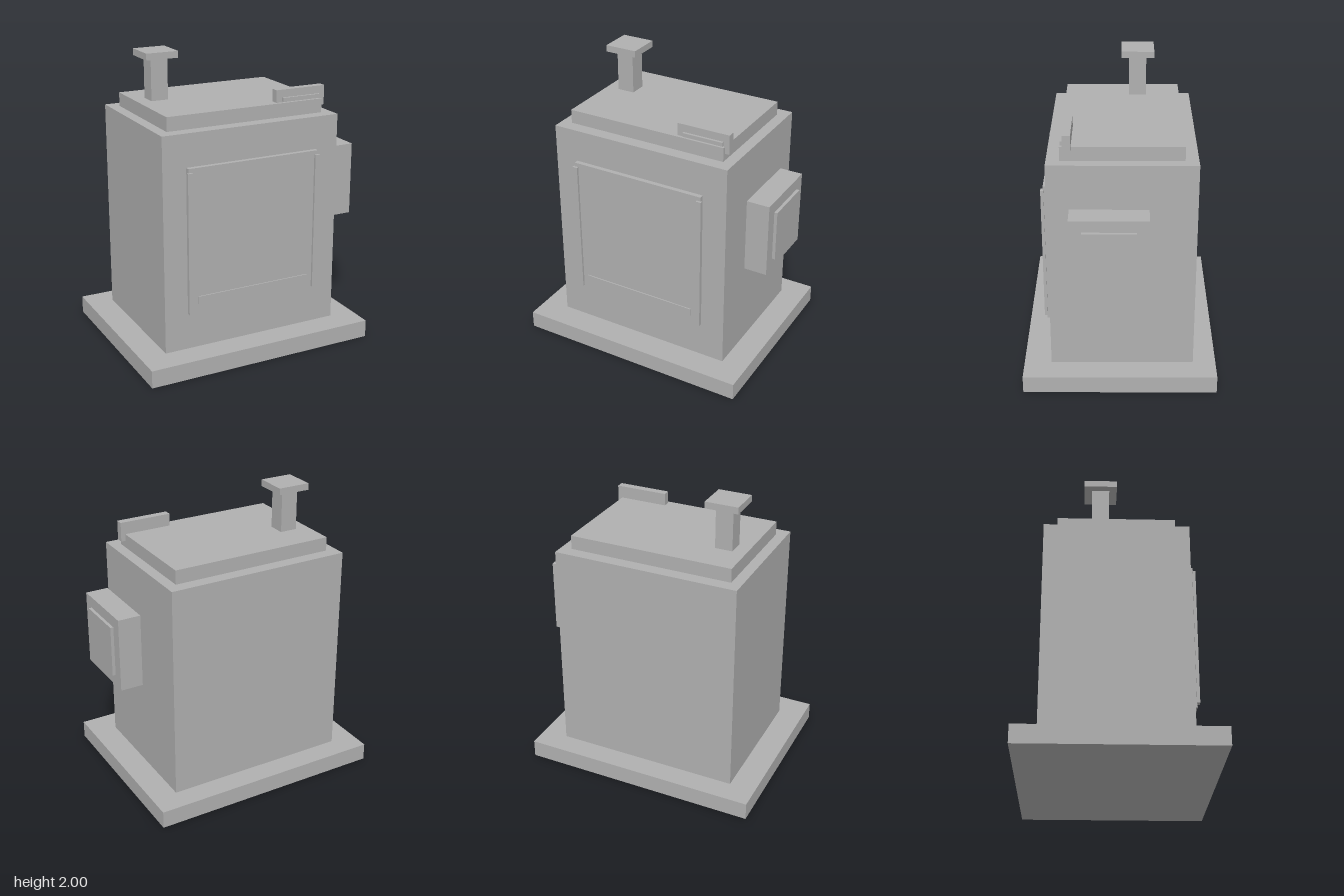
import * as THREE from 'three';

export function createModel() {
  const model = new THREE.Group();
  model.name = 'cabinet';
  const grey = new THREE.MeshStandardMaterial({ color: 0xb0b0b0 });
  grey.name = 'plain grey';

  // Adds a box from its extents along each axis
  function box(name, [x0, x1], [y0, y1], [z0, z1], parent = model) {
    const mesh = new THREE.Mesh(new THREE.BoxGeometry(x1 - x0, y1 - y0, z1 - z0), grey);
    mesh.position.set((x0 + x1) / 2, (y0 + y1) / 2, (z0 + z1) / 2);
    mesh.name = name;
    parent.add(mesh);
  }
  function group(name) {
    const g = new THREE.Group();
    g.name = name;
    model.add(g);
    return g;
  }

  // Plinth, main body and raised lid
  box('base', [-0.847, 0.773], [0, 0.12], [-0.645, 0.645]);
  box('body', [-0.67, 0.598], [0.12, 1.58], [-0.492, 0.463]);
  box('lid', [-0.598, 0.525], [1.58, 1.674], [-0.406, 0.377]);

  // Front door: panel, two side rails and a low bar
  const door = group('door');
  box('doorPanel', [-0.508, 0.432], [0.37, 1.36], [0.463, 0.494], door);
  for (const x of [-0.5, 0.425])
    box('doorRail', [x - 0.018, x + 0.018], [0.397, 1.333], [0.49, 0.51], door);
  box('doorBar', [-0.445, 0.372], [0.44, 0.493], [0.494, 0.502], door);

  // Square chimney with a cap
  const chimney = group('chimney');
  box('chimneyPipe', [-0.508, -0.39], [1.674, 1.955], [-0.177, -0.06], chimney);
  box('chimneyCap', [-0.56, -0.336], [1.955, 2], [-0.23, -0.008], chimney);

  // Upright plate on the lid with a thin strip on its face
  const plate = group('topPlate');
  box('plateBack', [0.193, 0.555], [1.627, 1.758], [0.305, 0.357], plate);
  box('plateStrip', [0.235, 0.514], [1.68, 1.706], [0.357, 0.373], plate);

  // Side box standing off the body, with a panel showing on both faces
  const side = group('sideBox');
  box('sideCase', [0.667, 0.822], [0.81, 1.313], [-0.183, 0.317], side);
  box('sidePanel', [0.647, 0.843], [0.89, 1.235], [-0.105, 0.237], side);

  return model;
}
